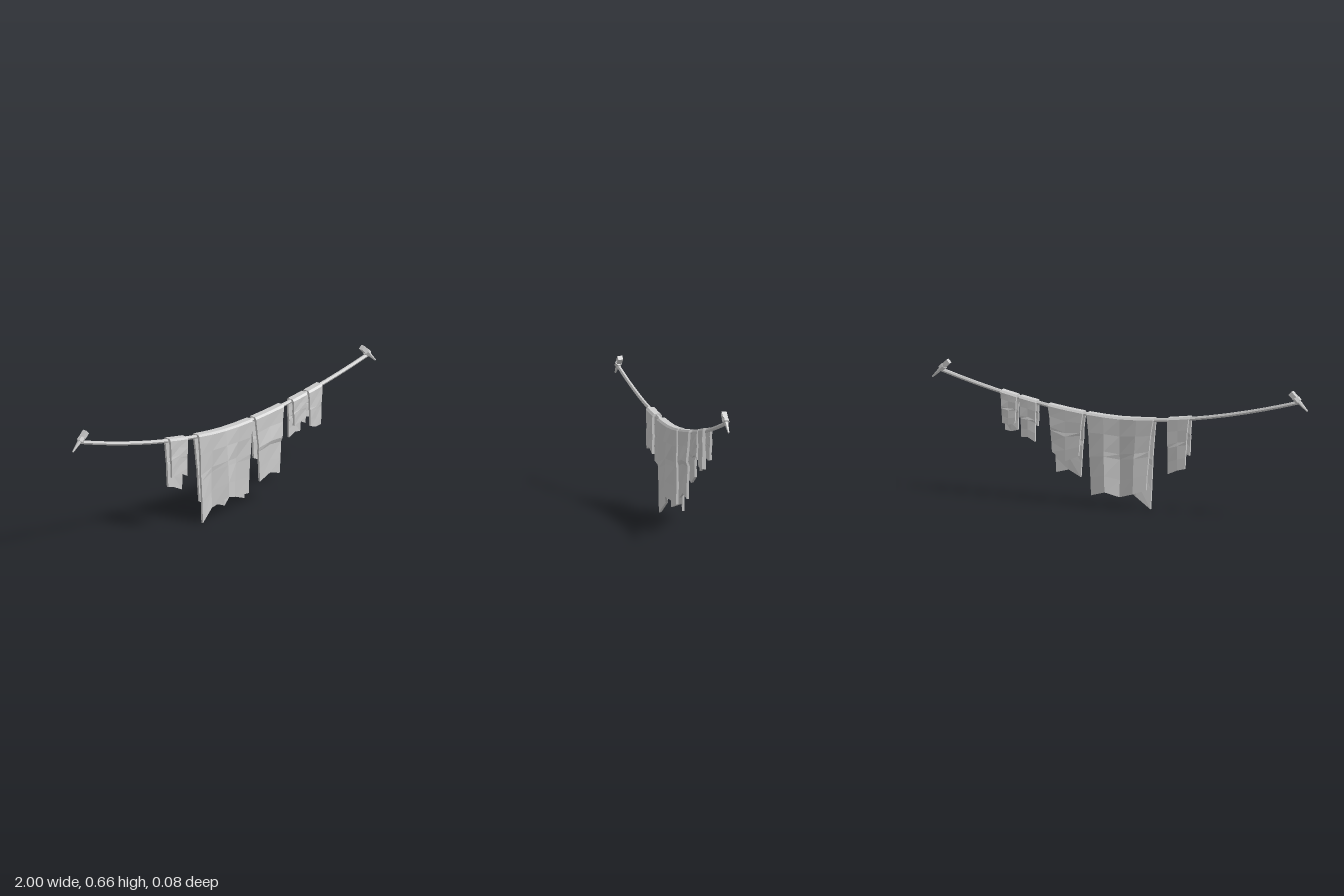
import * as THREE from 'three';

const material = new THREE.MeshStandardMaterial({ color: 0xcccccc, flatShading: true, side: THREE.DoubleSide });
const Z = 0.003; // depth of the rope's centre line
const THICK = 0.012;
const ropeY = (x) => 0.44 + 0.18 * Math.pow(Math.abs(x), 1.7);
const { lerp, clamp } = THREE.MathUtils;

function mesh(geometry, name) {
  const m = new THREE.Mesh(geometry, material);
  m.name = name;
  return m;
}

// A thick cloth folded over the rope. front and back list the hem corners
// from -x to +x as [x, y, bulge away from the rope].
function cloth(name, x0, x1, front, back, crease = 0) {
  const drops = [0, 0.22, 0.45, 0.52, 0.78, 1];
  const cols = front.length;
  const outer = [], inner = [];

  for (let u = 0; u < cols; u++) {
    const topX = lerp(x0, x1, u / (cols - 1));
    const topY = ropeY(topX) + 0.013;
    const out = [], inn = [];
    const side = (hem, dir, t, i) => {
      const [hx, hy, bulge] = hem[u];
      const x = lerp(topX, hx, Math.pow(t, 0.7));
      const y = lerp(topY - 0.01, hy, t);
      const swell = bulge * clamp((t - 0.15) / 0.4, 0, 1);
      const fold = dir > 0 && i === 2 ? crease : 0;
      const wrinkle = t > 0 && t < 1 ? 0.002 * Math.sin(u * 2.3 + i * 1.9 + dir) : 0;
      const z = Z + dir * (0.025 + swell + fold + wrinkle);
      out.push([x, y, z]);
      inn.push([x, y - (t === 0 ? 0.004 : 0), z - dir * THICK]);
    };
    for (let i = drops.length - 1; i >= 0; i--) side(front, 1, drops[i], i);
    for (const dir of [1, -1]) {
      out.push([topX, topY, Z + dir * 0.017]);
      inn.push([topX, topY - THICK, Z + dir * 0.009]);
    }
    drops.forEach((t, i) => side(back, -1, t, i));
    outer.push(out);
    inner.push(inn);
  }

  const pos = [];
  const quad = (a, b, c, d) => pos.push(...a, ...b, ...c, ...a, ...c, ...d);
  const last = outer[0].length - 1;
  const e = cols - 1;
  for (let v = 0; v < last; v++) {
    for (let u = 0; u < e; u++) {
      quad(outer[u][v], outer[u + 1][v], outer[u + 1][v + 1], outer[u][v + 1]);
      quad(inner[u][v], inner[u][v + 1], inner[u + 1][v + 1], inner[u + 1][v]);
    }
    // side rims
    quad(outer[0][v], outer[0][v + 1], inner[0][v + 1], inner[0][v]);
    quad(outer[e][v], inner[e][v], inner[e][v + 1], outer[e][v + 1]);
  }
  // hems
  for (let u = 0; u < e; u++) {
    quad(outer[u][0], inner[u][0], inner[u + 1][0], outer[u + 1][0]);
    quad(outer[u + 1][last], inner[u + 1][last], inner[u][last], outer[u][last]);
  }
  const g = new THREE.BufferGeometry();
  g.setAttribute('position', new THREE.Float32BufferAttribute(pos, 3));
  g.computeVertexNormals();
  return mesh(g, name);
}

// Slanted peg with a square head and the rope's knot around it
function peg(side) {
  const group = new THREE.Group();
  group.name = side > 0 ? 'leftPeg' : 'rightPeg';
  const head = mesh(new THREE.BoxGeometry(0.024, 0.034, 0.025), 'pegHead');
  head.position.y = 0.031;
  const shaft = mesh(new THREE.CylinderGeometry(0.014, 0.004, 0.092, 6), 'pegShaft');
  shaft.position.y = -0.029;
  const knot = mesh(new THREE.CylinderGeometry(0.018, 0.018, 0.022, 6), 'knot');
  group.add(head, shaft, knot);
  group.position.set(side * 0.945, 0.617, Z);
  group.rotation.z = side * 0.8;
  return group;
}

export function createModel() {
  const model = new THREE.Group();
  model.name = 'clothesline';

  // Sagging rope
  const points = [];
  for (let i = -8; i <= 8; i++) {
    const x = (i / 8) * 0.95;
    points.push(new THREE.Vector3(x, ropeY(x), Z));
  }
  const rope = new THREE.TubeGeometry(new THREE.CatmullRomCurve3(points), 20, 0.01, 6);
  model.add(mesh(rope, 'rope'), peg(1), peg(-1));

  // Washing, from -x to +x
  model.add(
    cloth('smallTowel', -0.375, -0.26,
      [[-0.365, 0.285, 0], [-0.315, 0.3, 0.002], [-0.265, 0.272, 0]],
      [[-0.355, 0.225, 0], [-0.315, 0.215, 0.002], [-0.265, 0.192, 0]]),
    cloth('largeSheet', -0.185, 0.168,
      [[-0.158, 0, -0.004], [-0.085, 0.06, -0.018], [0, 0.103, 0.012], [0.065, 0.08, -0.018], [0.145, 0.085, -0.003]],
      [[-0.148, 0.1, 0], [-0.085, 0.078, 0.016], [0, 0.05, -0.018], [0.065, 0.075, 0.016], [0.145, 0.05, -0.003]]),
    cloth('mediumTowel', 0.19, 0.375,
      [[0.215, 0.128, 0], [0.28, 0.16, 0.002], [0.345, 0.142, 0]],
      [[0.21, 0.24, 0], [0.28, 0.21, 0.002], [0.352, 0.25, 0]], 0.008),
    cloth('smallCloth', 0.438, 0.528,
      [[0.442, 0.362, 0], [0.48, 0.378, 0.001], [0.515, 0.36, 0]],
      [[0.443, 0.292, 0], [0.48, 0.312, 0.001], [0.515, 0.31, 0]]),
    cloth('narrowCloth', 0.542, 0.628,
      [[0.55, 0.335, 0], [0.585, 0.325, 0.001], [0.618, 0.33, 0]],
      [[0.55, 0.375, 0], [0.585, 0.365, 0.001], [0.618, 0.372, 0]]),
  );
  return model;
}
